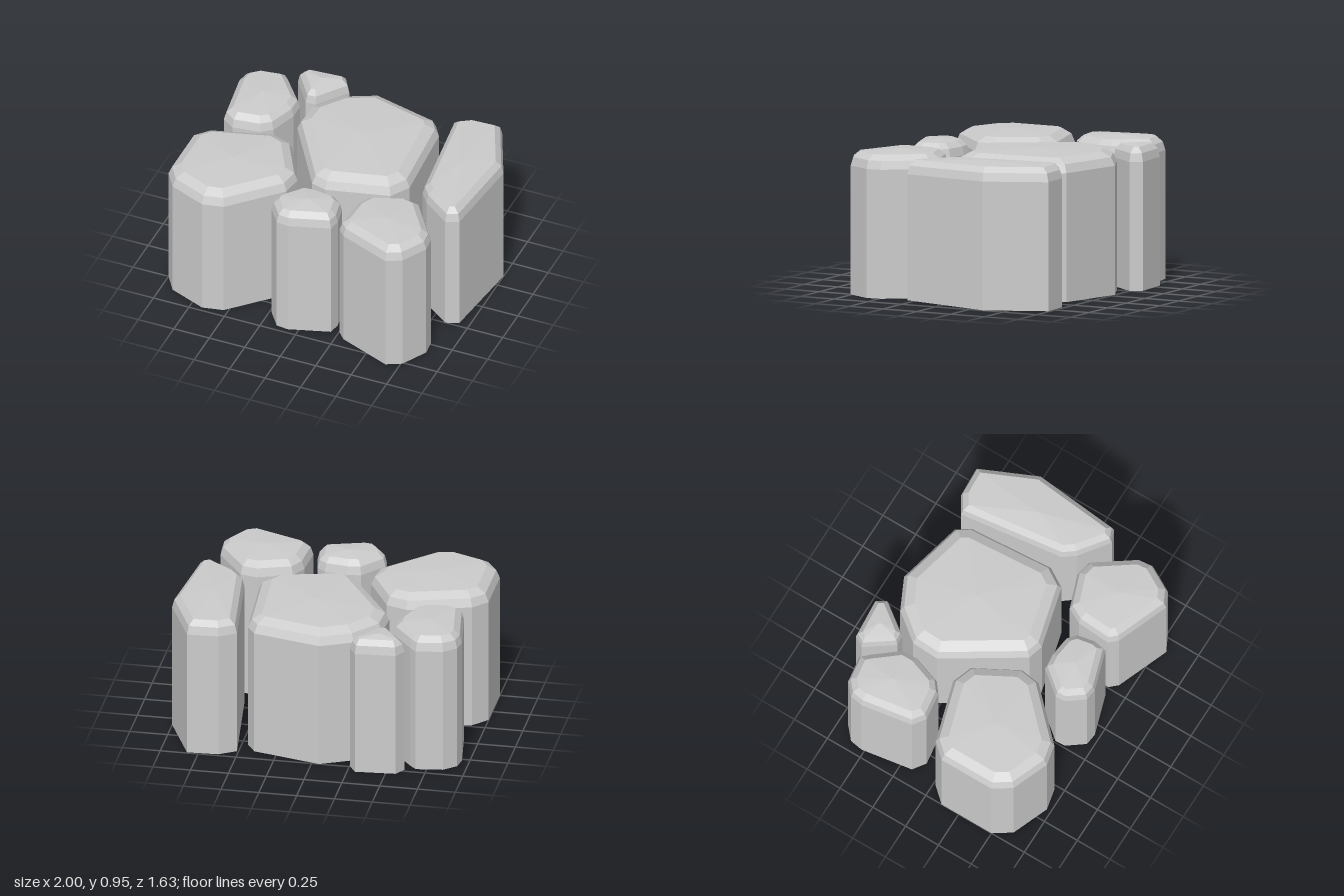
import * as THREE from 'three';

const V = (x, z) => new THREE.Vector2(x, z);

// Each stone: outline [x, z] clockwise seen from above, bevel width, optional underside lift
const STONES = [
  { name: 'largeCentreStone', bevel: 0.09, outline: [[-.05, -.75], [.4, -.64], [.46, -.55], [.5, .03], [.42, .16],
    [.005, .265], [-.1, .235], [-.42, -.27], [-.41, -.46], [-.26, -.65]] },
  { name: 'frontRightStone', bevel: 0.08, outline: [[-.91, .02], [-.5, -.1], [-.36, -.05], [-.2, .24], [-.22, .38],
    [-.53, .69], [-.67, .72], [-.92, .62], [-1, .5], [-1, .12]] },
  { name: 'smallFrontStone', bevel: 0.05, outline: [[-.11, .36], [-.02, .35], [.13, .37], [.19, .42], [.215, .55],
    [.2, .63], [-.07, .715], [-.15, .705], [-.235, .59], [-.24, .52]] },
  { name: 'frontLeftStone', bevel: 0.06, outline: [[.325, .28], [.55, .2], [.66, .225], [.845, .49], [.855, .59],
    [.76, .76], [.66, .81], [.305, .67], [.255, .615], [.27, .385]] },
  { name: 'longLeftStone', bevel: 0.05, lift: z => Math.max(0, 0.03 * (z + 0.4)), outline: [[.51, -.66], [.62, -.73],
    [.825, -.74], [1, -.35], [.94, .24], [.855, .275], [.66, .13], [.6, .05]] },
  { name: 'backRightStone', bevel: 0.055, outline: [[-.855, -.68], [-.68, -.705], [-.635, -.66], [-.49, -.48],
    [-.49, -.375], [-.555, -.19], [-.625, -.135], [-.81, -.11], [-.895, -.17], [-.95, -.52], [-.935, -.61]] },
  { name: 'smallBackStone', bevel: 0.04, outline: [[-.565, -.8], [-.3, -.82], [-.255, -.745], [-.405, -.545],
    [-.475, -.54], [-.61, -.73]] },
];

// Move every edge of a convex outline inwards by d, with mitred corners
function inset(points, d) {
  const n = points.length;
  const normals = points.map((p, i) => {
    const e = points[(i + 1) % n].clone().sub(p).normalize();
    return V(-e.y, e.x);
  });
  return points.map((p, i) => {
    const a = normals[(i + n - 1) % n], b = normals[i];
    return a.clone().add(b).multiplyScalar(d / (1 + a.dot(b))).add(p);
  });
}

// Straight walls, a two-step bevel and a slightly domed top
function stoneGeometry({ outline, bevel, lift = () => 0 }) {
  const base = outline.map(([x, z]) => V(x, z));
  const n = base.length;
  const rings = [[0, 0], [0, 0.845], [0.28, 0.9], [1, 0.936]];
  const pos = [], index = [];
  rings.forEach(([k, y], r) => {
    for (const p of inset(base, k * bevel)) pos.push(p.x, r === 0 ? lift(p.y) : y, p.y);
  });
  const centre = base.reduce((s, p) => s.add(p), V(0, 0)).divideScalar(n);
  const bottom = rings.length * n, top = bottom + 1, last = (rings.length - 1) * n;
  pos.push(centre.x, lift(centre.y), centre.y, centre.x, 0.95, centre.y);
  for (let i = 0; i < n; i++) {
    const j = (i + 1) % n;
    for (let r = 0; r < last; r += n) {
      index.push(r + j, r + i, r + n + i, r + j, r + n + i, r + n + j);
    }
    index.push(bottom, i, j, top, last + j, last + i);
  }
  const g = new THREE.BufferGeometry();
  g.setAttribute('position', new THREE.Float32BufferAttribute(pos, 3));
  g.setIndex(index);
  const flat = g.toNonIndexed();
  flat.computeVertexNormals();
  return flat;
}

export function createModel() {
  const group = new THREE.Group();
  group.name = 'pavingStones';
  const material = new THREE.MeshStandardMaterial({ color: 0xcccccc, flatShading: true });
  for (const stone of STONES) {
    const mesh = new THREE.Mesh(stoneGeometry(stone), material);
    mesh.name = stone.name;
    group.add(mesh);
  }
  return group;
}
